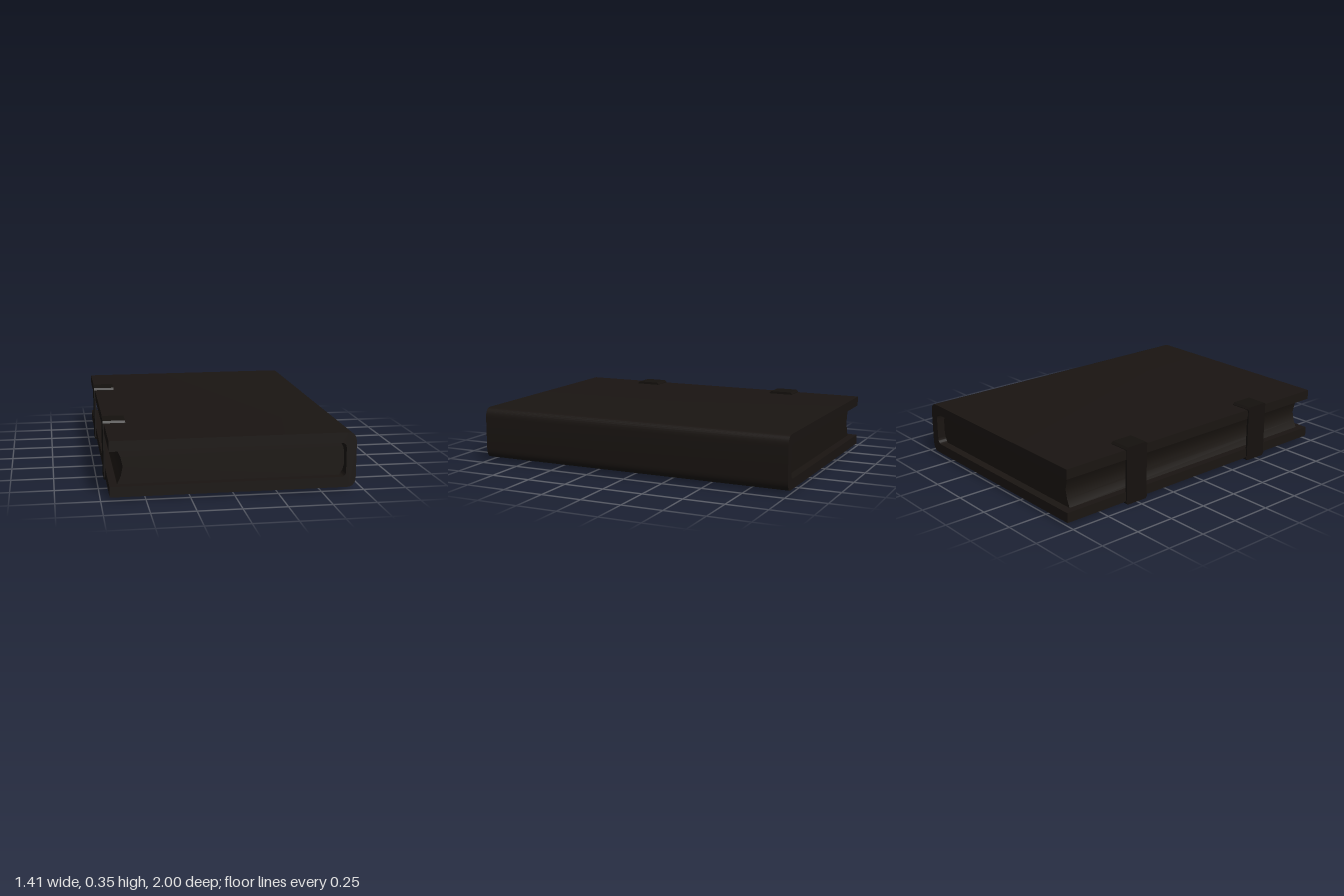
import * as THREE from 'three';
import { toCreasedNormals } from 'three/addons/utils/BufferGeometryUtils.js';

const leather = new THREE.MeshStandardMaterial({ color: 0x1a1512 });
const paper = new THREE.MeshStandardMaterial({ color: 0x1a1511 });
const metal = new THREE.MeshStandardMaterial({ color: 0x15110e });

// Extrude an xy outline along z, centred on z = 0
function extrude(shape, depth) {
  const geo = new THREE.ExtrudeGeometry(shape, { depth, bevelEnabled: false, curveSegments: 8 });
  geo.translate(0, 0, -depth / 2);
  return toCreasedNormals(geo, 0.6);
}

function addMesh(parent, name, geo, material) {
  const mesh = new THREE.Mesh(geo, material);
  mesh.name = name;
  parent.add(mesh);
  return mesh;
}

// Two boards joined by a rounded spine
function coverShape() {
  const s = new THREE.Shape();
  s.moveTo(-0.7, 0.02);
  s.lineTo(0.65, 0.02);
  s.bezierCurveTo(0.685, 0.02, 0.7, 0.045, 0.7, 0.085);
  s.lineTo(0.7, 0.275);
  s.bezierCurveTo(0.7, 0.315, 0.685, 0.34, 0.65, 0.34);
  s.lineTo(-0.7, 0.34);
  s.lineTo(-0.7, 0.28);
  s.lineTo(0.615, 0.28);
  s.quadraticCurveTo(0.642, 0.277, 0.642, 0.245);
  s.lineTo(0.642, 0.115);
  s.quadraticCurveTo(0.642, 0.083, 0.615, 0.08);
  s.lineTo(-0.7, 0.08);
  s.closePath();
  return s;
}

// Page block: hollow fore-edge, bulging back
function pagesShape() {
  const s = new THREE.Shape();
  s.moveTo(-0.655, 0.08);
  s.lineTo(0.615, 0.08);
  s.lineTo(0.634, 0.11);
  s.lineTo(0.642, 0.14);
  s.lineTo(0.642, 0.22);
  s.lineTo(0.634, 0.25);
  s.lineTo(0.615, 0.28);
  s.lineTo(-0.655, 0.28);
  s.lineTo(-0.634, 0.235);
  s.lineTo(-0.622, 0.18);
  s.lineTo(-0.634, 0.125);
  s.closePath();
  return s;
}

// Clasp plate with sloping sides, standing on y = 0
function plateGeometry(length, height) {
  const s = new THREE.Shape();
  s.moveTo(-0.08, 0);
  s.lineTo(0.08, 0);
  s.lineTo(0.08, height * 0.4);
  s.lineTo(0.068, height);
  s.lineTo(-0.068, height);
  s.lineTo(-0.08, height * 0.4);
  s.closePath();
  return extrude(s, length).rotateY(Math.PI / 2);
}

function createClasp(z) {
  const clasp = new THREE.Group();
  clasp.name = 'clasp';
  addMesh(clasp, 'claspTopPlate', plateGeometry(0.132, 0.02), metal).position.set(-0.641, 0.335, 0);
  const lower = addMesh(clasp, 'claspBottomPlate', plateGeometry(0.124, 0.025), metal);
  lower.rotation.x = Math.PI;
  lower.position.set(-0.645, 0.025, 0);
  addMesh(clasp, 'claspStrap', new THREE.BoxGeometry(0.012, 0.34, 0.15), metal).position.set(-0.701, 0.177, 0);
  clasp.position.z = z;
  return clasp;
}

export function createModel() {
  const book = new THREE.Group();
  book.name = 'book';
  addMesh(book, 'cover', extrude(coverShape(), 2), leather);
  addMesh(book, 'pages', extrude(pagesShape(), 1.9), paper);
  for (const z of [-0.5, 0.5]) book.add(createClasp(z));
  return book;
}
